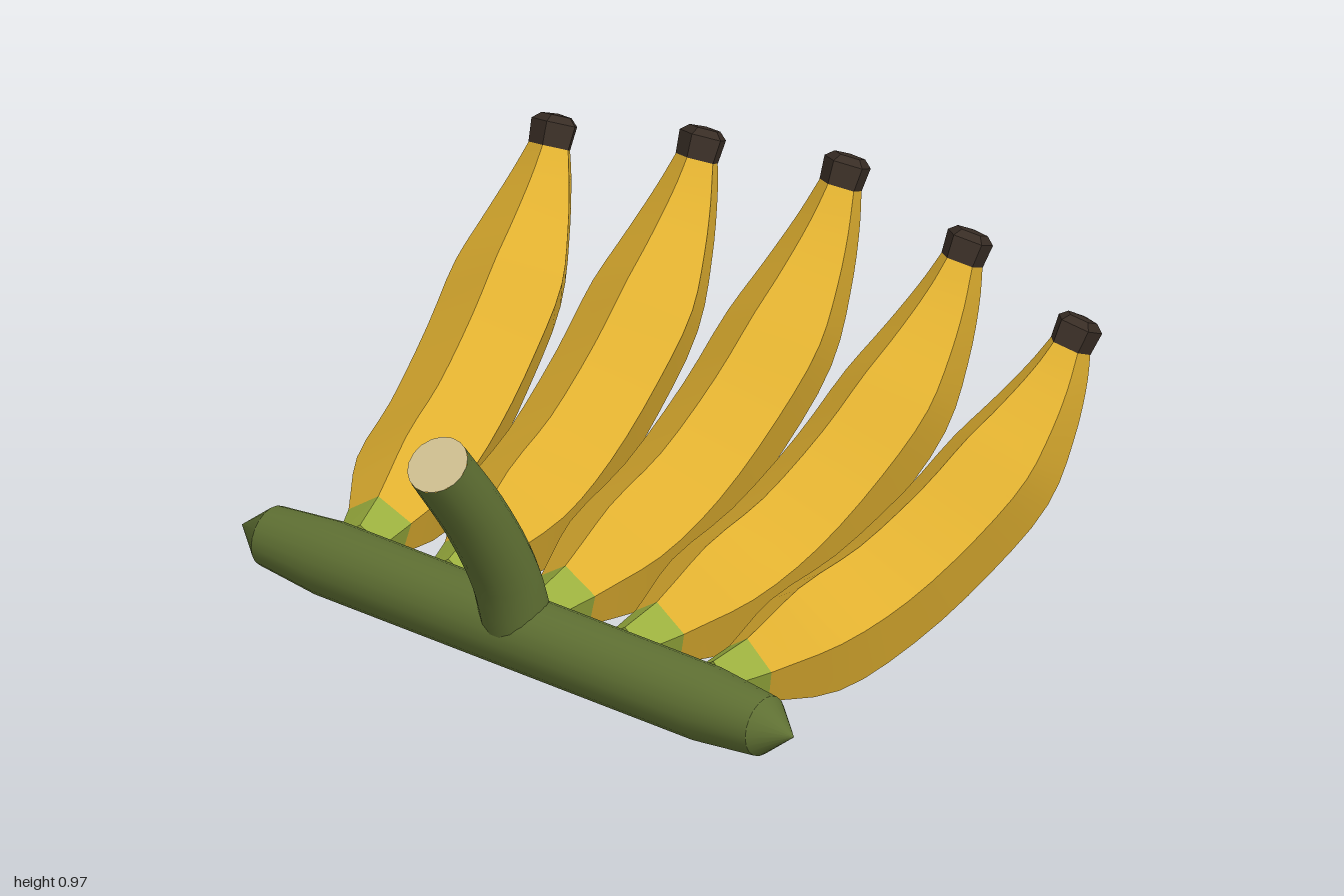
import * as THREE from 'three';
import { toCreasedNormals } from 'three/addons/utils/BufferGeometryUtils.js';

const mat = (name, color) => {
  const m = new THREE.MeshStandardMaterial({ color });
  m.name = name;
  return m;
};

// Five-sided loft along rings { x, y, r, a }: ridge on top, hard edges between sides.
function loft(rings, flat = false) {
  const pos = [], index = [];
  const SIDES = 5;
  for (let k = 0; k < SIDES; k++) {
    const start = pos.length / 3;
    for (const { x, y, r, a } of rings) {
      for (const j of [k, k + 1]) {
        const t = (j / SIDES) * Math.PI * 2;
        const up = r * Math.cos(t);
        pos.push(x - Math.sin(a) * up, y + Math.cos(a) * up, r * Math.sin(t));
      }
    }
    for (let i = 0; i < rings.length - 1; i++) {
      const b = start + i * 2;
      index.push(b, b + 1, b + 3, b, b + 3, b + 2);
    }
  }
  let g = new THREE.BufferGeometry();
  g.setAttribute('position', new THREE.Float32BufferAttribute(pos, 3));
  g.setIndex(index);
  if (flat) g = g.toNonIndexed();
  g.computeVertexNormals();
  return g;
}

export function createModel() {
  const model = new THREE.Group();
  const yellow = mat('banana yellow', 0xe0b030);
  const lime = mat('neck green', 0x9aae3e);
  const green = mat('stem green', 0x5f7033);
  const dark = mat('tip brown', 0x382d25);
  const cream = mat('cut cream', 0xd0c090);

  const add = (parent, name, geometry, material) => {
    const mesh = new THREE.Mesh(geometry, material);
    mesh.name = name;
    parent.add(mesh);
    return mesh;
  };

  // Crown bar with pointed ends
  const half = [[0, 0.95], [0.085, 0.85], [0.105, 0.65]];
  const profile = [
    ...half.map(([r, z]) => new THREE.Vector2(r, -z)),
    ...half.slice().reverse().map(([r, z]) => new THREE.Vector2(r, z)),
  ];
  const crown = add(model, 'crown', toCreasedNormals(new THREE.LatheGeometry(profile, 20), 0.5), green);
  crown.rotation.x = Math.PI / 2;
  crown.position.set(-0.53, 0.107, 0);

  // Curved stem, slightly thinner towards the cut
  const stemPath = new THREE.CatmullRomCurve3([
    new THREE.Vector3(-0.525, 0.11, 0),
    new THREE.Vector3(-0.585, 0.30, 0),
    new THREE.Vector3(-0.705, 0.52, 0),
    new THREE.Vector3(-0.875, 0.762, 0),
  ]);
  const STEPS = 14, RADIAL = 18;
  const stemRadius = (t) => 0.097 - 0.01 * t;
  const stem = new THREE.TubeGeometry(stemPath, STEPS, 1, RADIAL);
  const p = stem.attributes.position, v = new THREE.Vector3();
  for (let i = 0; i < p.count; i++) {
    const t = Math.floor(i / (RADIAL + 1)) / STEPS;
    const c = stemPath.getPointAt(t);
    v.fromBufferAttribute(p, i).sub(c).multiplyScalar(stemRadius(t)).add(c);
    p.setXYZ(i, v.x, v.y, v.z);
  }
  add(model, 'stem', stem, green);
  const cut = add(model, 'stemCut', new THREE.CircleGeometry(stemRadius(1), RADIAL), cream);
  cut.position.copy(stemPath.getPointAt(1));
  cut.quaternion.setFromUnitVectors(new THREE.Vector3(0, 0, 1), stemPath.getTangentAt(1));

  // Banana spine: x from the crown, height above the neck, radius
  const spine = [
    [0.13, 0.005, 0.098], [0.34, 0.042, 0.165], [0.59, 0.115, 0.17],
    [0.85, 0.26, 0.17], [1.04, 0.41, 0.166], [1.16, 0.545, 0.128],
    [1.24, 0.66, 0.092], [1.295, 0.765, 0.06],
  ];

  function banana(length, rise) {
    const fruit = new THREE.Group();
    const curve = new THREE.CatmullRomCurve3(
      spine.map(([x, y, r]) => new THREE.Vector3(x * length, y * rise, r)));
    const rings = [];
    for (let i = 0; i <= 21; i++) {
      const c = curve.getPoint(i / 21), d = curve.getTangent(i / 21);
      rings.push({ x: c.x, y: c.y, r: c.z, a: Math.atan2(d.y, d.x) });
    }
    const first = rings[0], last = rings[rings.length - 1];
    add(fruit, 'peel', loft(rings), yellow);

    // Neck, closed at the crown
    const base = { x: -0.01, y: 0, r: 0.07, a: 0 };
    add(fruit, 'neck', loft([{ ...base, r: 0 }, base, first], true), lime);

    // Dry blossom end
    const along = (d, r) => ({
      x: last.x + Math.cos(last.a) * d, y: last.y + Math.sin(last.a) * d, r, a: last.a,
    });
    add(fruit, 'tip', loft(
      [along(-0.005, 0), along(-0.005, 0.062), along(0.06, 0.068), along(0.08, 0.045), along(0.085, 0)], true), dark);
    return fruit;
  }

  // Fan of five, shorter and lower towards the ends
  const lengths = [1, 0.97, 0.925], rises = [1, 0.93, 0.83];
  for (let i = -2; i <= 2; i++) {
    const k = Math.abs(i);
    const fruit = banana(lengths[k], rises[k]);
    fruit.name = 'banana' + (i + 3);
    fruit.position.set(-0.44, 0.118, i * 0.305);
    fruit.rotation.y = -i * 0.119;
    model.add(fruit);
  }
  return model;
}
